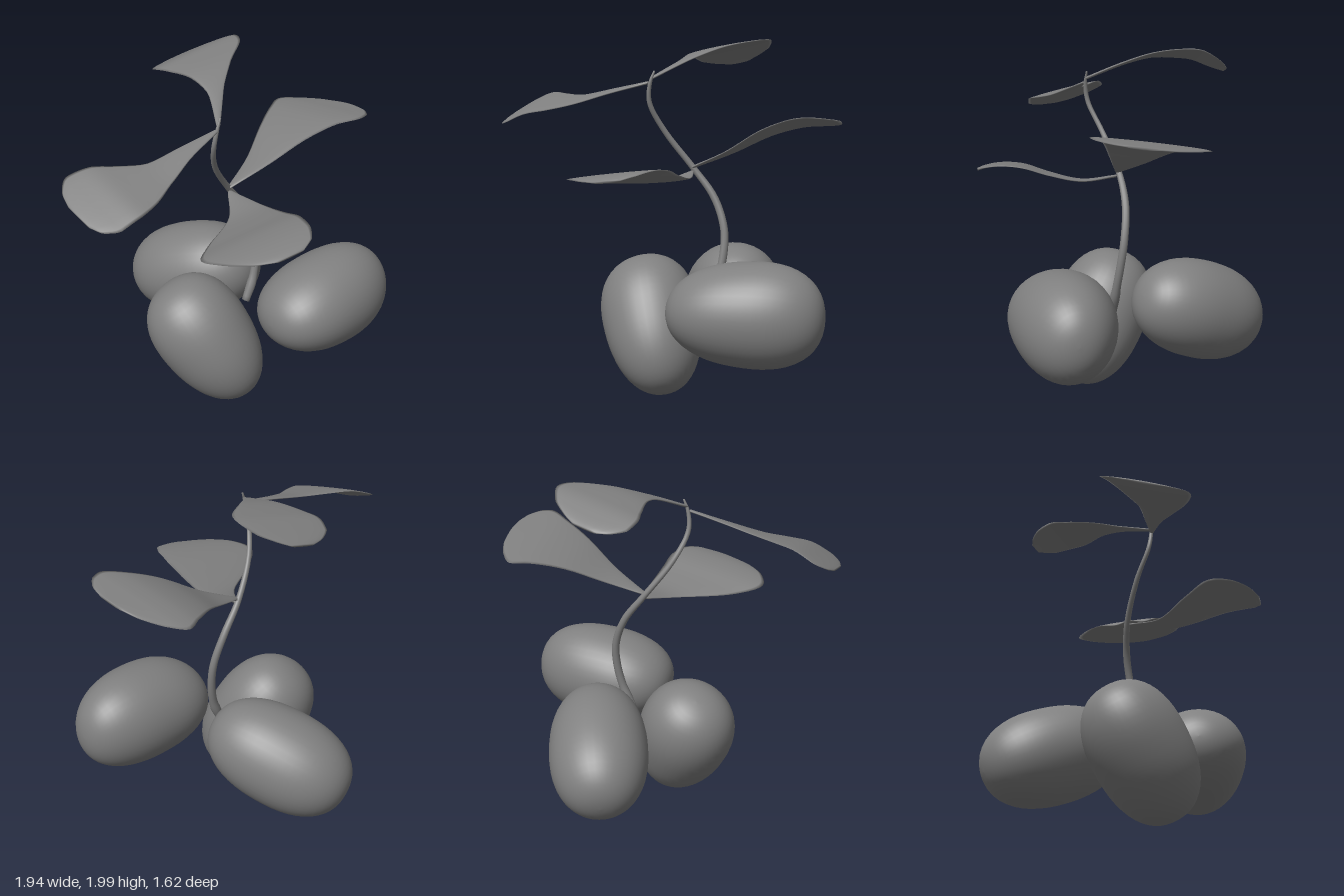
import * as THREE from 'three';

const material = new THREE.MeshStandardMaterial({ color: 0x808080 });
const V = (a) => new THREE.Vector3(...a);

// Lofts oval rings along a path of [x, y, z, halfWidth] stations.
// side is the width direction; a null thickness makes the rings round.
function loft(stations, side, thickness, rows = 32, seg = 16) {
  const path = new THREE.CatmullRomCurve3(stations.map((s) => new THREE.Vector3(s[0], s[1], s[2])));
  const width = new THREE.CatmullRomCurve3(stations.map((s) => new THREE.Vector3(s[3], 0, 0)));
  const pos = [], index = [], s = side.clone().normalize();
  for (let i = 0; i <= rows; i++) {
    const u = i / rows, c = path.getPoint(u), w = Math.max(width.getPoint(u).x, 0.004);
    const n = path.getTangent(u).cross(s).normalize();
    const th = thickness === null ? w : Math.min(thickness, w);
    for (let j = 0; j < seg; j++) {
      const a = (j / seg) * Math.PI * 2;
      const p = c.clone().addScaledVector(s, w * Math.cos(a)).addScaledVector(n, th * Math.sin(a));
      pos.push(...p.toArray());
    }
  }
  const id = (i, j) => i * seg + (j % seg), end = (rows + 1) * seg;
  pos.push(...path.getPoint(0).toArray(), ...path.getPoint(1).toArray());
  for (let j = 0; j < seg; j++) {
    for (let i = 0; i < rows; i++) {
      index.push(id(i, j), id(i, j + 1), id(i + 1, j), id(i, j + 1), id(i + 1, j + 1), id(i + 1, j));
    }
    index.push(end, id(0, j + 1), id(0, j), end + 1, id(rows, j), id(rows, j + 1));
  }
  const geo = new THREE.BufferGeometry();
  geo.setAttribute('position', new THREE.Float32BufferAttribute(pos, 3));
  geo.setIndex(index);
  geo.computeVertexNormals();
  return geo;
}

// Plump, slightly squared egg with its long axis on y; the tapers fatten the +y end across x and z.
function fruitGeometry(length, radius, taperX, taperZ) {
  const p = 2.3, geo = new THREE.SphereGeometry(1, 40, 28), at = geo.attributes.position;
  const v = new THREE.Vector3();
  for (let i = 0; i < at.count; i++) {
    v.fromBufferAttribute(at, i);
    const r = Math.hypot(v.x, v.z);
    v.multiplyScalar((Math.abs(v.y) ** p + r ** p) ** (-1 / p));
    at.setXYZ(i, v.x * radius * (1 + taperX * v.y), v.y * length, v.z * radius * (1 + taperZ * v.y));
  }
  geo.computeVertexNormals();
  // Blend the normals over the sphere's seam
  const nrm = geo.attributes.normal;
  for (let row = 0; row <= 28; row++) {
    const a = row * 41, b = a + 40;
    const n = new THREE.Vector3().fromBufferAttribute(nrm, a)
      .add(new THREE.Vector3().fromBufferAttribute(nrm, b)).normalize();
    nrm.setXYZ(a, n.x, n.y, n.z);
    nrm.setXYZ(b, n.x, n.y, n.z);
  }
  return geo;
}

export function createModel() {
  const group = new THREE.Group();
  const add = (name, geo) => {
    const mesh = new THREE.Mesh(geo, material);
    mesh.name = name;
    group.add(mesh);
    return mesh;
  };

  // Three fruits: centre, long axis, half length, radius, tapers
  const fruits = [
    ['frontRightFruit', [-0.118, 0.385, 0.135], [-0.38, 0.83, -0.42], 0.41, 0.278, 0.13, 0.04],
    ['frontLeftFruit', [0.537, 0.565, 0.39], [1, 0.02, -0.1], 0.427, 0.283, 0.1, -0.1],
    ['backFruit', [0.163, 0.495, -0.408], [-0.47, -0.36, -0.83], 0.425, 0.28, 0.02, 0.02],
  ];
  for (const [name, centre, axis, ...shape] of fruits) {
    const fruit = add(name, fruitGeometry(...shape));
    fruit.position.set(...centre);
    fruit.quaternion.setFromUnitVectors(new THREE.Vector3(0, 1, 0), V(axis).normalize());
  }

  // Winding stem, thinning upward
  add('stem', loft([
    [0.19, 0.51, 0.085, 0.024], [0.25, 0.65, 0.073, 0.024], [0.28, 0.81, 0.05, 0.023],
    [0.275, 0.95, 0.03, 0.022], [0.21, 1.12, 0.015, 0.021], [0.09, 1.285, 0.035, 0.018],
    [-0.05, 1.49, 0.11, 0.016], [-0.11, 1.655, 0.185, 0.014], [-0.1, 1.76, 0.2, 0.011],
    [-0.075, 1.83, 0.195, 0.005],
  ], new THREE.Vector3(0, 0, 1), null, 48, 12));

  // Fan-shaped leaves: stations from base to tip, width direction
  const leaves = [
    ['rightLeaf', [
      [-0.11, 1.765, 0.205, 0.012], [-0.32, 1.715, 0.235, 0.05], [-0.51, 1.665, 0.275, 0.1],
      [-0.64, 1.65, 0.28, 0.17], [-0.76, 1.64, 0.265, 0.225], [-0.87, 1.6, 0.245, 0.24],
      [-0.94, 1.565, 0.245, 0.175], [-0.962, 1.55, 0.25, 0.09],
    ], [0.05, -0.1, 0.45]],
    ['leftLeaf', [
      [0.09, 1.29, 0.045, 0.012], [0.3, 1.38, 0.02, 0.09], [0.5, 1.49, -0.015, 0.19],
      [0.66, 1.545, -0.04, 0.27], [0.77, 1.56, -0.04, 0.325], [0.85, 1.565, -0.01, 0.275],
      [0.91, 1.568, 0.015, 0.175], [0.932, 1.57, 0.03, 0.08],
    ], [0.04, 0.05, 0.32]],
    ['frontLeaf', [
      [0.09, 1.265, 0.05, 0.012], [0.06, 1.24, 0.24, 0.105], [-0.06, 1.26, 0.42, 0.24],
      [-0.125, 1.295, 0.56, 0.305], [-0.11, 1.31, 0.68, 0.265], [-0.08, 1.305, 0.77, 0.18],
      [-0.06, 1.295, 0.812, 0.08],
    ], [0.3, 0.045, 0.02]],
    ['backLeaf', [
      [-0.09, 1.79, 0.2, 0.012], [0.03, 1.885, 0.0, 0.05], [0.1, 1.935, -0.15, 0.13],
      [0.155, 1.947, -0.29, 0.23], [0.155, 1.938, -0.38, 0.257], [0.145, 1.9, -0.465, 0.225],
      [0.14, 1.87, -0.52, 0.14], [0.145, 1.855, -0.543, 0.07],
    ], [0.25, 0.052, 0.02]],
  ];
  for (const [name, stations, side] of leaves) add(name, loft(stations, V(side), 0.008));

  return group;
}
